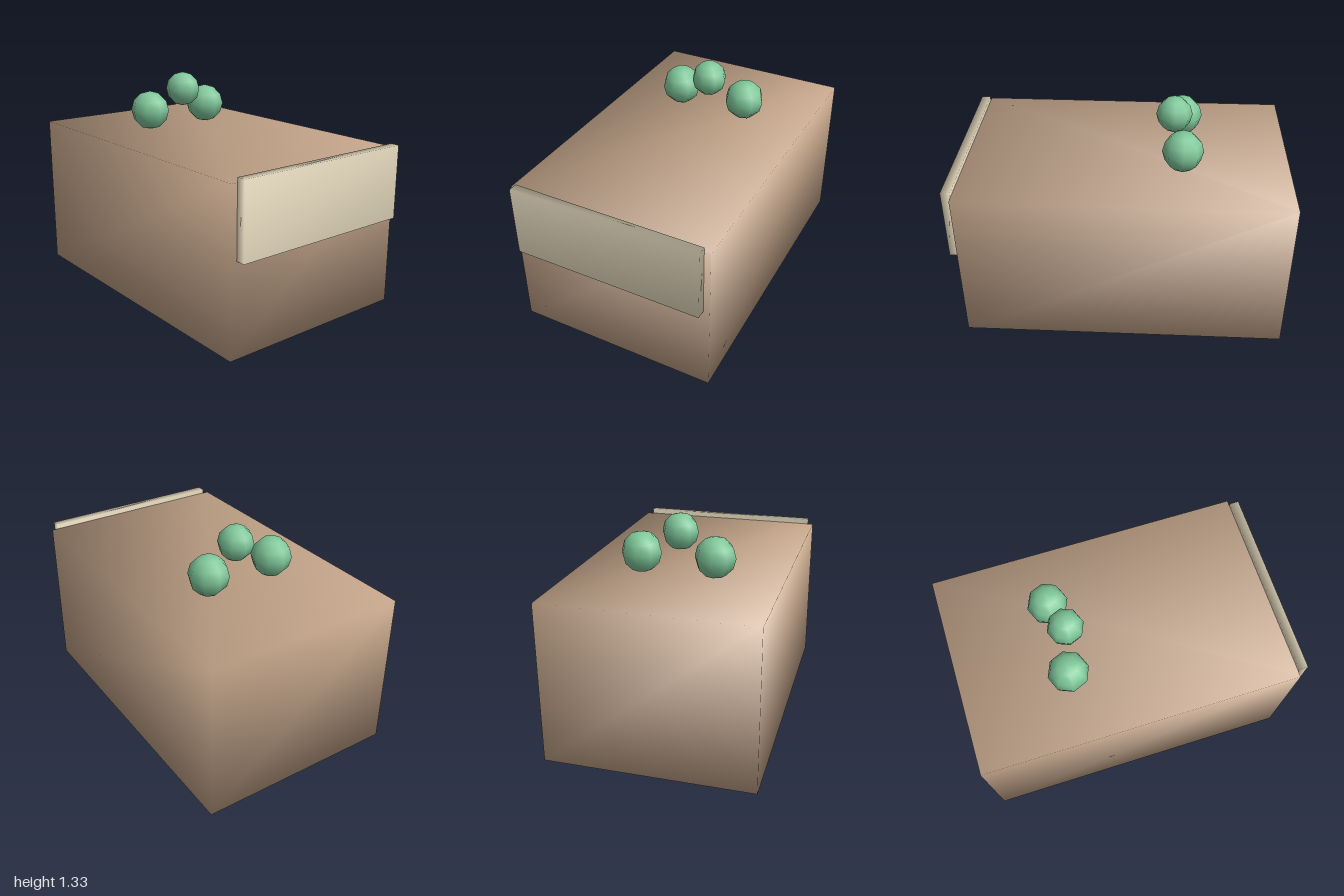
import * as THREE from 'three';
import { mergeVertices } from 'three/addons/utils/BufferGeometryUtils.js';

const paint = (color) => new THREE.MeshStandardMaterial({ color });

// Box whose eight corners are shared, so its shading runs softly over the edges
function softBox(w, h, d) {
  const box = new THREE.BoxGeometry(w, h, d);
  box.deleteAttribute('normal');
  box.deleteAttribute('uv');
  const geometry = mergeVertices(box);
  geometry.computeVertexNormals();
  return geometry;
}

export function createModel() {
  const model = new THREE.Group();
  const add = (name, geometry, material, x, y, z) => {
    const mesh = new THREE.Mesh(geometry, material);
    mesh.name = name;
    mesh.position.set(x, y, z);
    model.add(mesh);
  };

  // Main block
  add('body', softBox(1.245, 0.972, 1.944), paint(0xc4a58a), 0, 0.486, -0.028);

  // Raised panel on the front, standing slightly above the block
  add('frontPanel', softBox(1.168, 0.444, 0.056), paint(0xe8dcc0), 0, 0.778, 0.972);

  // Three low-poly balls: a pair on the block and a smaller one above
  const green = paint(0x7fc79a);
  const ball = (r) => new THREE.SphereGeometry(r, 8, 6);
  add('leftBall', ball(0.123), green, 0.222, 1.098, -0.36);
  add('rightBall', ball(0.123), green, -0.222, 1.098, -0.36);
  add('topBall', ball(0.109), green, 0, 1.222, -0.306);

  return model;
}
